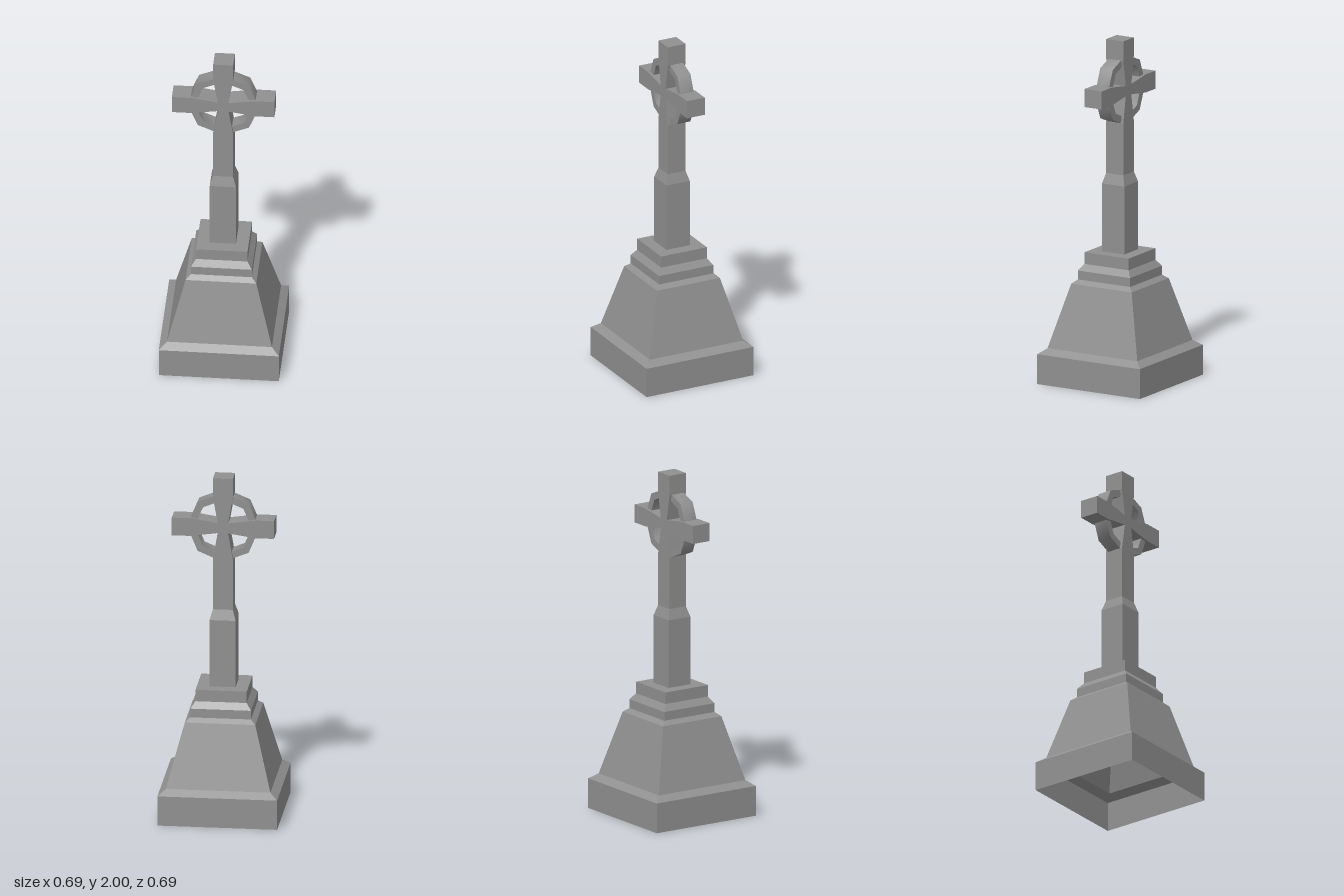
import * as THREE from 'three';
import { toCreasedNormals } from 'three/addons/utils/BufferGeometryUtils.js';

const stone = new THREE.MeshStandardMaterial({ color: 0x909090, side: THREE.DoubleSide });
stone.name = 'grey stone';

// Open square shell from [half width, height] pairs, listed bottom to top
function squareShell(name, profile) {
  const points = profile.map(([half, y]) => new THREE.Vector2(half * Math.SQRT2, y));
  const geometry = new THREE.LatheGeometry(points, 4, Math.PI / 4).toNonIndexed();
  geometry.computeVertexNormals();
  const mesh = new THREE.Mesh(geometry, stone);
  mesh.name = name;
  return mesh;
}

// Slab centred on z = 0
function slab(name, shape, depth, crease) {
  let geometry = new THREE.ExtrudeGeometry(shape, { depth, bevelEnabled: false });
  geometry.translate(0, 0, -depth / 2);
  geometry = toCreasedNormals(geometry, crease);
  const mesh = new THREE.Mesh(geometry, stone);
  mesh.name = name;
  return mesh;
}

const octagon = (radius) => Array.from({ length: 8 }, (_, i) => {
  const a = i * Math.PI / 4;
  return new THREE.Vector2(radius * Math.cos(a), radius * Math.sin(a));
});

export function createModel() {
  const group = new THREE.Group();
  group.name = 'stoneCross';

  // Hollow stepped base, open underneath
  group.add(squareShell('plinth', [
    [0.343, 0], [0.343, 0.175], [0.3, 0.207], [0.202, 0.577], [0.174, 0.6],
    [0.174, 0.652], [0.147, 0.689], [0.147, 0.757], [0.075, 0.757],
  ]));

  // Lower shaft with chamfered shoulder
  group.add(squareShell('lowerShaft', [[0.075, 0.757], [0.075, 1.155], [0.057, 1.215]]));

  // Upper shaft and cross, with arms narrowing toward the centre
  const cy = 1.703, w = 0.057, h = 0.053, waist = 0.03, flare = 0.185, reach = 0.293;
  const right = [
    [w, 1.215 - cy], [w, -flare], [waist, -waist], [flare, -h], [reach, -h],
    [reach, h], [flare, h], [waist, waist], [w, flare], [w, 2 - cy],
  ];
  const left = right.map(([x, y]) => [-x, y]).reverse();
  const outline = [...right, ...left].map(([x, y]) => new THREE.Vector2(x, y));
  const cross = slab('cross', new THREE.Shape(outline), 2 * w, 0.1);
  cross.position.y = cy;
  group.add(cross);

  // Eight-sided ring around the crossing
  const ringShape = new THREE.Shape(octagon(0.207));
  ringShape.holes.push(new THREE.Path(octagon(0.164).reverse()));
  const ring = slab('ring', ringShape, 0.084, 0.9);
  ring.position.y = cy;
  group.add(ring);

  return group;
}
